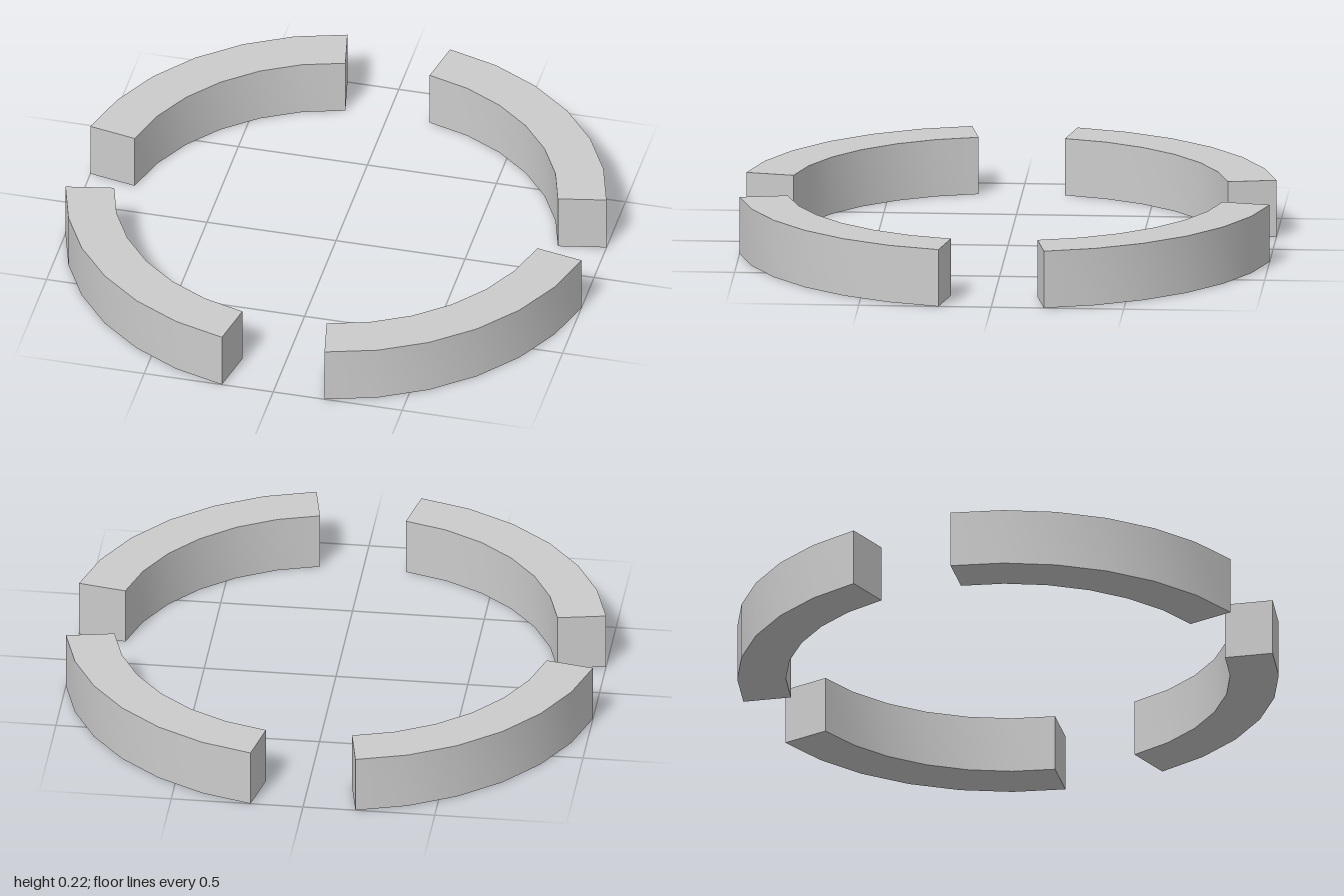
import * as THREE from 'three';
import { toCreasedNormals } from 'three/addons/utils/BufferGeometryUtils.js';

const STEP = Math.PI / 16;             // angle of one facet; each arc spans six
const OUTER = 1 / Math.cos(STEP);      // arc ends reach exactly 1 on each axis
const INNER = 0.82 * OUTER;
const HEIGHT = 0.22;

// Flat outline of one ring segment, extruded upwards
function arcGeometry() {
  const start = STEP, end = Math.PI / 2 - STEP;
  const shape = new THREE.Shape();
  shape.absarc(0, 0, OUTER, start, end, false);
  shape.absarc(0, 0, INNER, end, start, true);
  // arcs are sampled at twice curveSegments, giving six facets
  const geometry = new THREE.ExtrudeGeometry(shape, { depth: HEIGHT, bevelEnabled: false, curveSegments: 3 });
  geometry.rotateX(-Math.PI / 2);
  // smooth curved walls, sharp edges
  return toCreasedNormals(geometry, Math.PI / 6);
}

export function createModel() {
  const model = new THREE.Group();
  model.name = 'segmentedRing';
  const geometry = arcGeometry();
  const material = new THREE.MeshStandardMaterial({ color: 0xcccccc });

  // Four equal segments around the vertical axis
  ['backLeft', 'backRight', 'frontRight', 'frontLeft'].forEach((corner, i) => {
    const segment = new THREE.Mesh(geometry, material);
    segment.name = `${corner}RingSegment`;
    segment.rotation.y = i * Math.PI / 2;
    model.add(segment);
  });
  return model;
}
